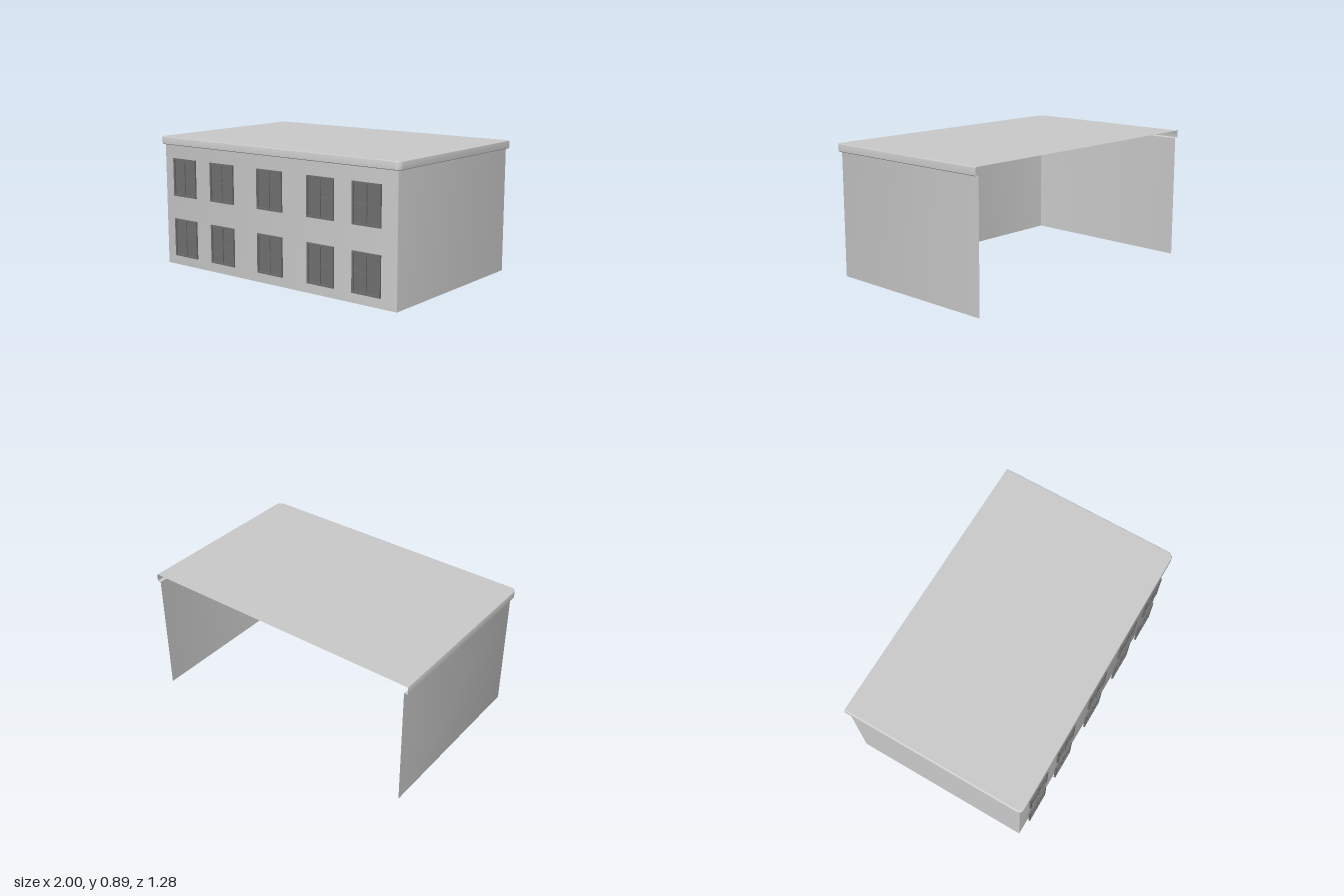
import * as THREE from 'three';
import { toCreasedNormals } from 'three/addons/utils/BufferGeometryUtils.js';

const HALF_W = 1, HALF_D = 0.64, EAVE = 0.84, ROOF = 0.893;
const grey = new THREE.MeshStandardMaterial({ color: 0xcccccc, side: THREE.DoubleSide });
const dark = new THREE.MeshStandardMaterial({ color: 0x707070, side: THREE.DoubleSide });

// Plan line as [x, z]: back right, round the front, to back left; open at the back
function outline(inset, radius, steps = 6) {
  const x = HALF_W - inset - radius, z = HALF_D - inset - radius;
  const pts = [[-HALF_W + inset, -HALF_D]];
  for (const side of [-1, 1]) {
    for (let i = 0; i <= steps; i++) {
      const t = (side < 0 ? i : steps - i) / steps * Math.PI / 2;
      pts.push([side * (x + radius * Math.cos(t)), z + radius * Math.sin(t)]);
    }
  }
  pts.push([HALF_W - inset, -HALF_D]);
  return pts;
}

// Skin over a stack of [inset, radius, y] plan lines
function skin(levels) {
  const pos = [], idx = [];
  let n = 0;
  for (const [inset, radius, y] of levels) {
    const ring = outline(inset, radius);
    n = ring.length;
    ring.forEach(([x, z]) => pos.push(x, y, z));
  }
  for (let j = 0; j < levels.length - 1; j++) {
    for (let i = 0; i < n - 1; i++) {
      const a = j * n + i, c = a + n;
      idx.push(a, a + 1, c + 1, a, c + 1, c);
    }
  }
  const geo = new THREE.BufferGeometry();
  geo.setAttribute('position', new THREE.Float32BufferAttribute(pos, 3));
  geo.setIndex(idx);
  return toCreasedNormals(geo, 0.5);
}

function add(parent, name, geo, material) {
  const mesh = new THREE.Mesh(geo, material);
  mesh.name = name;
  parent.add(mesh);
  return mesh;
}

// Framed window with four panes, standing just proud of the wall
function makeWindow() {
  const w = 0.21, h = 0.26, t = 0.012, depth = 0.012;
  const win = new THREE.Group();
  win.name = 'window';
  const rect = (p, x0, y0, x1, y1) =>
    p.moveTo(x0, y0).lineTo(x1, y0).lineTo(x1, y1).lineTo(x0, y1).closePath();
  const shape = new THREE.Shape();
  rect(shape, -w / 2, -h / 2, w / 2, h / 2);
  const hole = new THREE.Path();
  rect(hole, -w / 2 + t, -h / 2 + t, w / 2 - t, h / 2 - t);
  shape.holes.push(hole);
  add(win, 'windowFrame', new THREE.ExtrudeGeometry(shape, { depth, bevelEnabled: false }), dark);
  add(win, 'glass', new THREE.PlaneGeometry(w - 2 * t, h - 2 * t), dark).position.z = 0.002;
  add(win, 'verticalBar', new THREE.BoxGeometry(0.007, h - 2 * t, 0.007), dark).position.z = 0.006;
  add(win, 'horizontalBar', new THREE.BoxGeometry(w - 2 * t, 0.007, 0.006), dark).position.z = 0.0055;
  return win;
}

export function createModel() {
  const building = new THREE.Group();
  building.name = 'building';

  // Front and side walls, open at the back and below
  add(building, 'walls', skin([[0.025, 0.005, 0], [0.025, 0.005, EAVE]]), grey);

  // Overhanging eave with softened edges
  add(building, 'eave', skin([
    [0.025, 0.005, EAVE], [0.004, 0.036, EAVE], [0, 0.04, EAVE + 0.004],
    [0, 0.04, ROOF - 0.007], [0.002, 0.038, ROOF - 0.002], [0.007, 0.033, ROOF],
  ]), grey);

  // Flat roof
  const plan = new THREE.Shape(outline(0.007, 0.033).map(([x, z]) => new THREE.Vector2(x, -z)));
  const roof = add(building, 'roof', new THREE.ShapeGeometry(plan).rotateX(-Math.PI / 2), grey);
  roof.position.y = ROOF;

  // Two rows of five windows
  for (const y of [0.2, 0.62]) {
    for (const x of [-0.77, -0.42, 0, 0.415, 0.765]) {
      const win = makeWindow();
      win.position.set(x, y, 0.628);
      building.add(win);
    }
  }
  return building;
}
